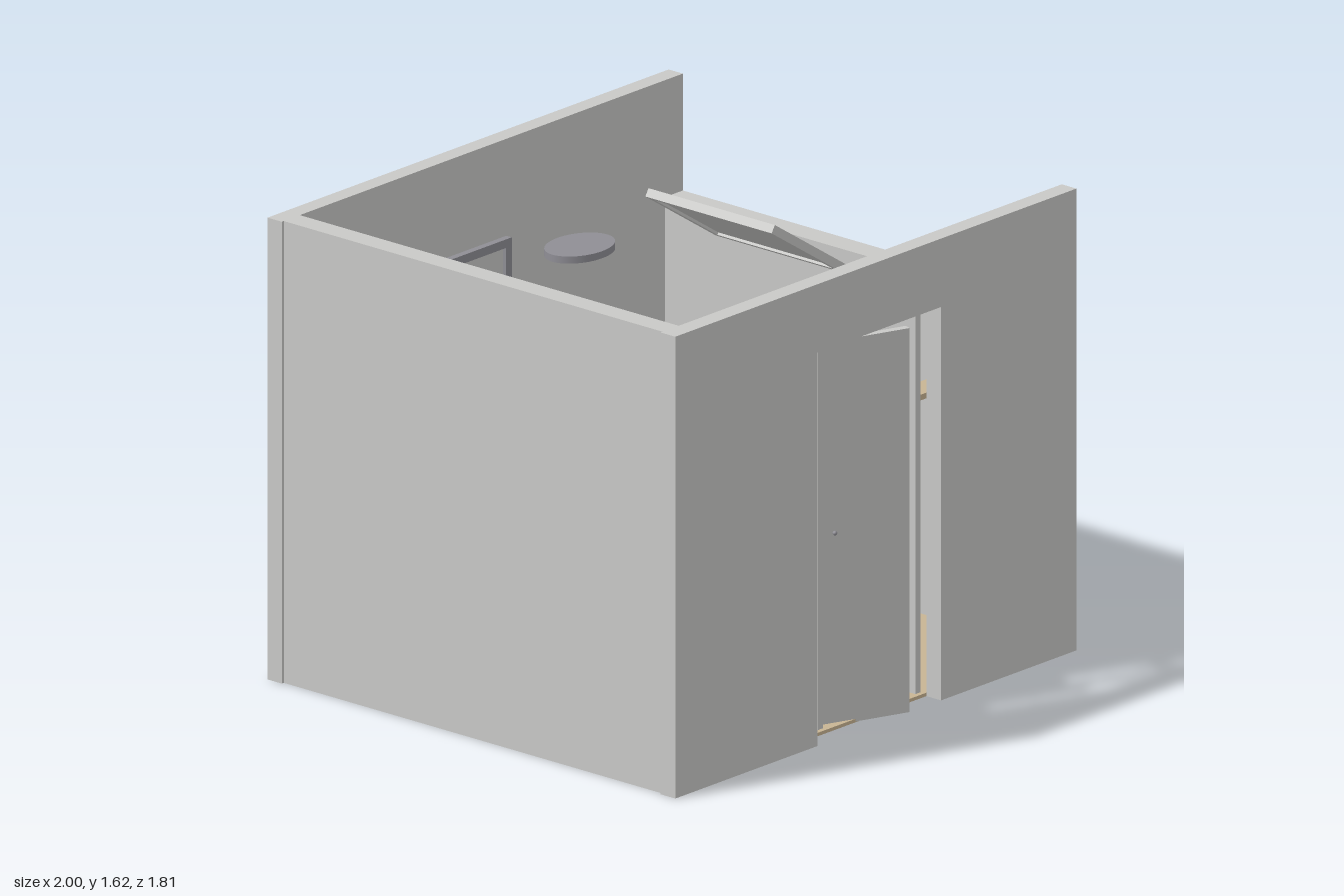
import * as THREE from 'three';

export function createModel() {
  const root = new THREE.Group();
  root.name = 'washroom';
  const mat = (name, color) => {
    const m = new THREE.MeshStandardMaterial({ color });
    m.name = name;
    return m;
  };
  const paleGrey = mat('paleGrey', 0xc9c9c7);
  const slate = mat('slateGrey', 0x8f8e95);
  const wood = mat('paleWood', 0xc8b493);

  const add = (name, geometry, material, parent = root) => {
    const mesh = new THREE.Mesh(geometry, material);
    mesh.name = name;
    parent.add(mesh);
    return mesh;
  };
  // Box given by its limits on each axis
  const box = (name, x0, x1, y0, y1, z0, z1, material = paleGrey, parent = root) => {
    const mesh = add(name, new THREE.BoxGeometry(x1 - x0, y1 - y0, z1 - z0), material, parent);
    mesh.position.set((x0 + x1) / 2, (y0 + y1) / 2, (z0 + z1) / 2);
    return mesh;
  };
  const part = (name, x = 0, y = 0, z = 0) => {
    const g = new THREE.Group();
    g.name = name;
    g.position.set(x, y, z);
    root.add(g);
    return g;
  };

  // Front wall with the doorway cut from its lower edge
  const outline = new THREE.Shape();
  [[-1, 0], [-0.29, 0], [-0.29, 1.38], [0.325, 1.38], [0.325, 0], [1, 0], [1, 1.62], [-1, 1.62]]
    .forEach(([x, y], i) => (i ? outline.lineTo(x, y) : outline.moveTo(x, y)));
  outline.closePath();
  add('frontWall', new THREE.ExtrudeGeometry(outline, { depth: 0.065, bevelEnabled: false }), paleGrey)
    .position.z = 0.838;

  // Other walls, the right one being lower
  box('backWall', -1, 1, 0, 1.62, -0.905, -0.842);
  box('leftWall', -0.99, -0.91, 0, 1.62, -0.842, 0.838);
  box('rightWall', 0.91, 1, 0, 1.21, -0.842, 0.838);
  box('floor', -0.91, 0.91, 0, 0.012, -0.842, 0.838, wood);

  // Shower area: tray, wall lining and framed partition
  box('showerTray', -0.91, -0.31, 0.012, 0.05, -0.825, 0.838);
  box('showerLining', -0.91, -0.885, 0.05, 1.28, -0.825, 0.838);
  const partition = part('partition');
  box('partitionPanel', -0.312, -0.298, 0.06, 1.3, -0.76, 0.75, paleGrey, partition);
  box('partitionTopRail', -0.325, -0.285, 1.295, 1.32, -0.81, 0.8, paleGrey, partition);
  box('partitionBottomRail', -0.325, -0.285, 0.012, 0.06, -0.81, 0.8, paleGrey, partition);
  box('partitionBackPost', -0.325, -0.285, 0.06, 1.295, -0.81, -0.75, paleGrey, partition);
  box('partitionFrontPost', -0.325, -0.285, 0.06, 1.295, 0.74, 0.8, paleGrey, partition);
  box('hangingTowel', -0.285, -0.255, 0.65, 1.1, 0.035, 0.29, slate);

  // Overhead oval disc
  const disc = add('overheadDisc', new THREE.CylinderGeometry(1, 1, 0.025, 48), slate);
  disc.scale.set(0.137, 1, 0.1);
  disc.position.set(-0.495, 1.598, 0.03);

  // Door casing
  const casing = part('doorCasing');
  box('casingHead', -0.195, 0.315, 1.35, 1.38, 0.785, 0.82, paleGrey, casing);
  for (const x of [-0.195, 0.29])
    box('casingPost', x, x + 0.025, 0, 1.35, 0.785, 0.82, paleGrey, casing);

  // Door, ajar
  const door = part('door', -0.27, 0, 0.735);
  door.rotation.y = -0.355;
  box('doorLeaf', 0, 0.465, 0.003, 1.35, -0.013, 0.013, paleGrey, door);
  for (const z of [-0.022, 0.022]) {
    const knob = add('doorKnob', new THREE.SphereGeometry(0.008, 12, 8), slate, door);
    knob.position.set(0.18, 0.68, z);
  }

  // Tilted framed panel
  const tilted = part('tiltedPanel', 0.365, 1.43, 0);
  tilted.rotation.z = -0.575;
  const L = 0.21, W = 0.28, T = 0.015, B = 0.024;
  box('tiltedSheet', -L + B, L - B, -0.006, 0.006, -W + B, W - B, paleGrey, tilted);
  for (const s of [-1, 1]) {
    const x = s * (L - B / 2), z = s * (W - B / 2);
    box('tiltedFrameEnd', x - B / 2, x + B / 2, -T, T, -W, W, paleGrey, tilted);
    box('tiltedFrameSide', -L + B, L - B, -T, T, z - B / 2, z + B / 2, paleGrey, tilted);
  }

  // Framed picture on the back wall
  const picture = part('wallPicture');
  box('pictureSheet', -0.235, 0.095, 0.75, 1.25, -0.842, -0.83, paleGrey, picture);
  for (const x of [-0.26, 0.09])
    box('pictureFrameSide', x, x + 0.03, 0.72, 1.28, -0.842, -0.818, slate, picture);
  for (const y of [0.72, 1.25])
    box('pictureFrameBar', -0.23, 0.09, y, y + 0.03, -0.842, -0.818, slate, picture);

  // Toilet
  const toilet = part('toilet');
  box('toiletBase', -0.15, 0.01, 0.012, 0.24, -0.74, -0.43, paleGrey, toilet);
  box('toiletSeat', -0.19, 0.05, 0.24, 0.29, -0.72, -0.39, paleGrey, toilet);
  box('toiletTank', -0.19, 0.055, 0.24, 0.52, -0.815, -0.72, paleGrey, toilet);
  box('tankLid', -0.205, 0.065, 0.52, 0.54, -0.818, -0.712, paleGrey, toilet);

  // Low cabinets and the rolls standing on them
  box('lowCabinet', 0.11, 0.36, 0.012, 0.39, -0.842, -0.645);
  box('cornerCabinet', 0.635, 0.91, 0.012, 0.52, -0.842, -0.58);
  for (const [x, y, z] of [[0.18, 0.422, -0.725], [0.29, 0.422, -0.725], [0.77, 0.552, -0.713]]) {
    const roll = add('paperRoll', new THREE.CylinderGeometry(0.033, 0.033, 0.066, 24), paleGrey);
    roll.rotation.x = Math.PI / 2;
    roll.position.set(x, y, z);
  }

  // Bin
  add('bin', new THREE.CylinderGeometry(0.067, 0.06, 0.26, 32), paleGrey).position.set(0.84, 0.142, -0.51);

  // Washstand with tap, and the side cabinet
  const stand = part('washstand');
  box('standBody', 0.64, 0.91, 0.012, 0.52, -0.4, -0.065, paleGrey, stand);
  box('splashback', 0.89, 0.91, 0.52, 0.6, -0.395, -0.07, paleGrey, stand);
  box('tapSpout', 0.765, 0.835, 0.58, 0.592, -0.236, -0.224, slate, stand);
  add('tapStem', new THREE.CylinderGeometry(0.01, 0.01, 0.08, 16), paleGrey, stand)
    .position.set(0.84, 0.56, -0.23);
  box('sideCabinet', 0.72, 0.91, 0.012, 0.45, -0.065, 0.12, slate);

  // Wooden shelf on the front wall with its supports
  const shelf = part('shelf');
  box('shelfBoard', 0.32, 0.685, 1.03, 1.05, 0.72, 0.81, wood, shelf);
  box('shelfUpright', 0.362, 0.4, 0.5, 1.03, 0.67, 0.838, paleGrey, shelf);
  box('shelfBracket', 0.62, 0.645, 0.95, 1.03, 0.7, 0.838, paleGrey, shelf);
  box('lowerRail', 0.4, 0.62, 0.72, 0.75, 0.74, 0.838, paleGrey, shelf);

  return root;
}
